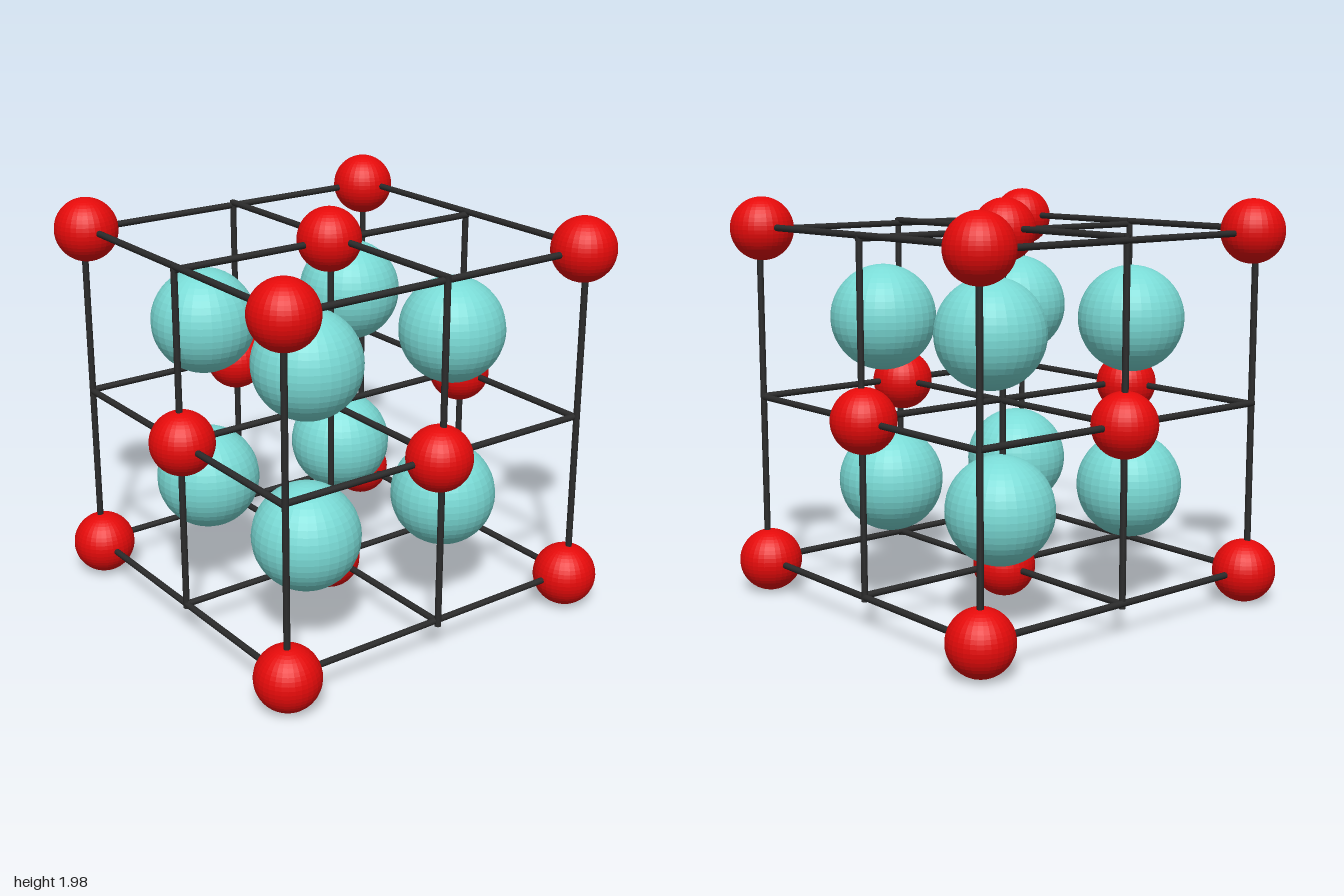
import * as THREE from 'three';

const MID = 1.0; // height of the lattice centre

export function createModel() {
  const model = new THREE.Group();
  model.name = 'crystalLattice';

  const red = new THREE.MeshStandardMaterial({ color: 0xe60a0a, flatShading: true });
  const teal = new THREE.MeshStandardMaterial({ color: 0x7adbd6, flatShading: true });
  const dark = new THREE.MeshStandardMaterial({ color: 0x2b2b2b });

  function add(parent, name, geometry, material, x, y, z) {
    const mesh = new THREE.Mesh(geometry, material);
    mesh.name = name;
    mesh.position.set(x, y, z);
    parent.add(mesh);
    return mesh;
  }

  function addGroup(name) {
    const group = new THREE.Group();
    group.name = name;
    model.add(group);
    return group;
  }

  // Small balls on the eight corners and six face centres of the cube
  const smallBalls = addGroup('smallBalls');
  const smallBall = new THREE.SphereGeometry(0.155, 32, 24);
  for (const i of [-1, 0, 1])
    for (const j of [-1, 0, 1])
      for (const k of [-1, 0, 1]) {
        const steps = Math.abs(i) + Math.abs(j) + Math.abs(k);
        if (steps !== 1 && steps !== 3) continue;
        const name = steps === 3 ? 'cornerBall' : 'faceBall';
        add(smallBalls, name, smallBall, red, i * 0.84, MID + j * 0.835, k * 0.84);
      }

  // Large balls, one near the middle of each small cell
  const largeBalls = addGroup('largeBalls');
  const largeBall = new THREE.SphereGeometry(0.258, 32, 24);
  const centres = [
    [-0.45, 1.41, -0.42], [0.435, 1.41, -0.42], [-0.415, 1.41, 0.4], [0.435, 1.41, 0.4],
    [-0.45, 0.585, -0.42], [0.375, 0.585, -0.415], [-0.45, 0.585, 0.435], [0.375, 0.585, 0.435],
  ];
  for (const c of centres) add(largeBalls, 'cellBall', largeBall, teal, ...c);

  // Rods along each axis on a three by three grid
  const rods = addGroup('rods');
  const rod = new THREE.CylinderGeometry(0.016, 0.016, 1.71, 10);
  for (const y of [0.17, 1.005, 1.83])
    for (const z of [-0.855, 0.01, 0.84])
      add(rods, 'crossRod', rod, dark, 0, y, z).rotation.z = Math.PI / 2;
  for (const x of [-0.85, 0.01, 0.85])
    for (const z of [-0.85, 0, 0.85])
      add(rods, 'uprightRod', rod, dark, x, MID, z);
  for (const x of [-0.85, 0.01, 0.85])
    for (const y of [0.165, 1.0, 1.845])
      add(rods, 'depthRod', rod, dark, x, y, 0).rotation.x = Math.PI / 2;

  return model;
}
